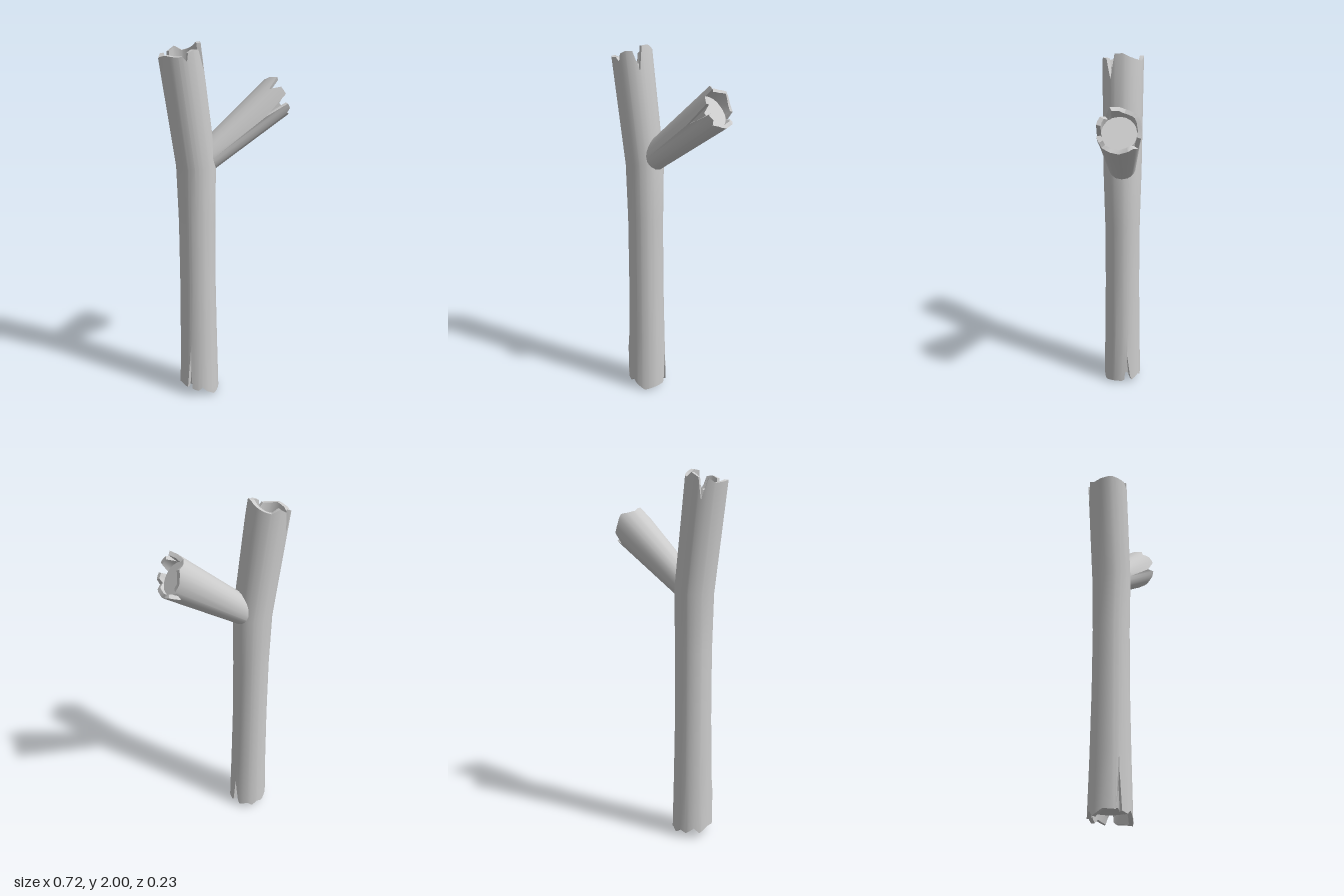
import * as THREE from 'three';
import { toCreasedNormals } from 'three/addons/utils/BufferGeometryUtils.js';

const SIDES = 16, BARK = 0.022;

// Periodic linear interpolation of a rim given as [degrees, offset] pairs
function rimOffset(rim, deg) {
  const pts = rim.map(([a, o]) => [(a + 360) % 360, o]).sort((p, q) => p[0] - q[0]);
  const first = pts[0], last = pts[pts.length - 1];
  pts.push([first[0] + 360, first[1]]);
  pts.unshift([last[0] - 360, last[1]]);
  for (let i = 1; i < pts.length; i++) {
    const [a, o] = pts[i - 1], [b, p] = pts[i];
    if (deg <= b) return o + (p - o) * (deg - a) / (b - a);
  }
  return 0;
}

// Round limb through sections [x, y, radius], with a splintered rim and recessed core at its ends.
// Angle 0 points across the limb towards +x, 90 towards +z.
function limb(name, sections, startEnd, finishEnd) {
  const angles = new Set();
  for (let i = 0; i < SIDES; i++) angles.add(i * 360 / SIDES);
  for (const end of [startEnd, finishEnd]) {
    if (end) end.rim.forEach(([a]) => angles.add((a + 360) % 360));
  }
  const cols = [...angles].sort((a, b) => a - b);
  const n = cols.length;

  const frames = sections.map(([x, y, r], i) => {
    const p = sections[Math.max(i - 1, 0)], q = sections[Math.min(i + 1, sections.length - 1)];
    const t = new THREE.Vector2(q[0] - p[0], q[1] - p[1]).normalize();
    return { x, y, r, t };
  });
  const ring = (f, radius, offset) => cols.map((deg) => {
    const a = THREE.MathUtils.degToRad(deg), c = radius * Math.cos(a), o = offset(deg);
    return [f.x + f.t.y * c + f.t.x * o, f.y - f.t.x * c + f.t.y * o, radius * Math.sin(a)];
  });
  // Rings from the outer rim inwards to the centre of the core
  const endRings = (f, end) => {
    const jag = (deg) => rimOffset(end.rim, deg), flat = () => end.core;
    return [ring(f, f.r, jag), ring(f, f.r - BARK, jag), ring(f, f.r - BARK - 0.003, flat), ring(f, 0, flat)];
  };

  const rows = frames.slice(1, -1).map((f) => ring(f, f.r, () => 0));
  const a = frames[0], b = frames[frames.length - 1];
  if (startEnd) rows.unshift(...endRings(a, startEnd).reverse());
  else rows.unshift(ring(a, a.r, () => 0));
  rows.push(...endRings(b, finishEnd));

  const index = [];
  for (let r = 0; r < rows.length - 1; r++) {
    for (let i = 0; i < n; i++) {
      const j = (i + 1) % n;
      const p = r * n + i, q = r * n + j, s = p + n, t = q + n;
      if (!(startEnd && r === 0)) index.push(p, s, q);
      if (r < rows.length - 2) index.push(q, s, t);
    }
  }
  // The first row of a closed start is a fan around its centre
  const geo = new THREE.BufferGeometry();
  geo.setAttribute('position', new THREE.Float32BufferAttribute(rows.flat(2), 3));
  geo.setIndex(index);
  const mesh = new THREE.Mesh(
    toCreasedNormals(geo, 0.6),
    new THREE.MeshStandardMaterial({ color: 0xcccccc, side: THREE.DoubleSide })
  );
  mesh.name = name;
  return mesh;
}

export function createModel() {
  const group = new THREE.Group();
  group.name = 'brokenBranch';

  // Trunk: straight lower part, leaning top
  const trunkFoot = {
    core: 0.035,
    rim: [[0, -0.01], [-8, 0], [-17, 0.17], [-27, 0.02], [-33, -0.01], [-60, 0.01], [-75, -0.01], [-92, 0.015],
      [-112, 0], [-135, 0.03], [-150, 0], [180, 0.03], [146, 0.025], [137, 0.21], [130, 0.02], [112, 0.01],
      [100, 0.03], [85, 0], [60, -0.03], [30, -0.015]],
  };
  const trunkTop = {
    core: -0.06,
    rim: [[0, 0.033], [22, 0.03], [35, -0.1], [50, 0.005], [70, 0.01], [86, 0], [92, -0.04], [102, -0.015],
      [125, -0.01], [150, 0], [180, -0.01], [205, -0.02], [-135, 0], [-121, -0.11], [-108, 0],
      [-85, 0.02], [-65, -0.005], [-45, 0], [-20, 0.015]],
  };
  group.add(limb('trunk', [
    [-0.167, 0.03, 0.112], [-0.167, 0.34, 0.105], [-0.168, 0.68, 0.1], [-0.168, 1.04, 0.1],
    [-0.17, 1.36, 0.107], [-0.25, 1.95, 0.112],
  ], trunkFoot, trunkTop));

  // Side branch: widens outwards, its start is buried in the trunk
  const branchTip = {
    core: -0.04,
    rim: [[180, 0.02], [156, 0.04], [142, -0.04], [125, 0.015], [102, 0.01], [90, -0.15], [76, -0.01],
      [58, -0.01], [48, -0.035], [30, -0.02], [0, -0.024], [-25, -0.01], [-40, -0.015], [-55, -0.07],
      [-70, -0.005], [-90, 0], [-125, 0.03], [-142, 0.01], [-164, 0]],
  };
  group.add(limb('sideBranch', [
    [-0.14, 1.372, 0.074], [-0.07, 1.424, 0.08], [0.305, 1.7, 0.113],
  ], null, branchTip));

  return group;
}
